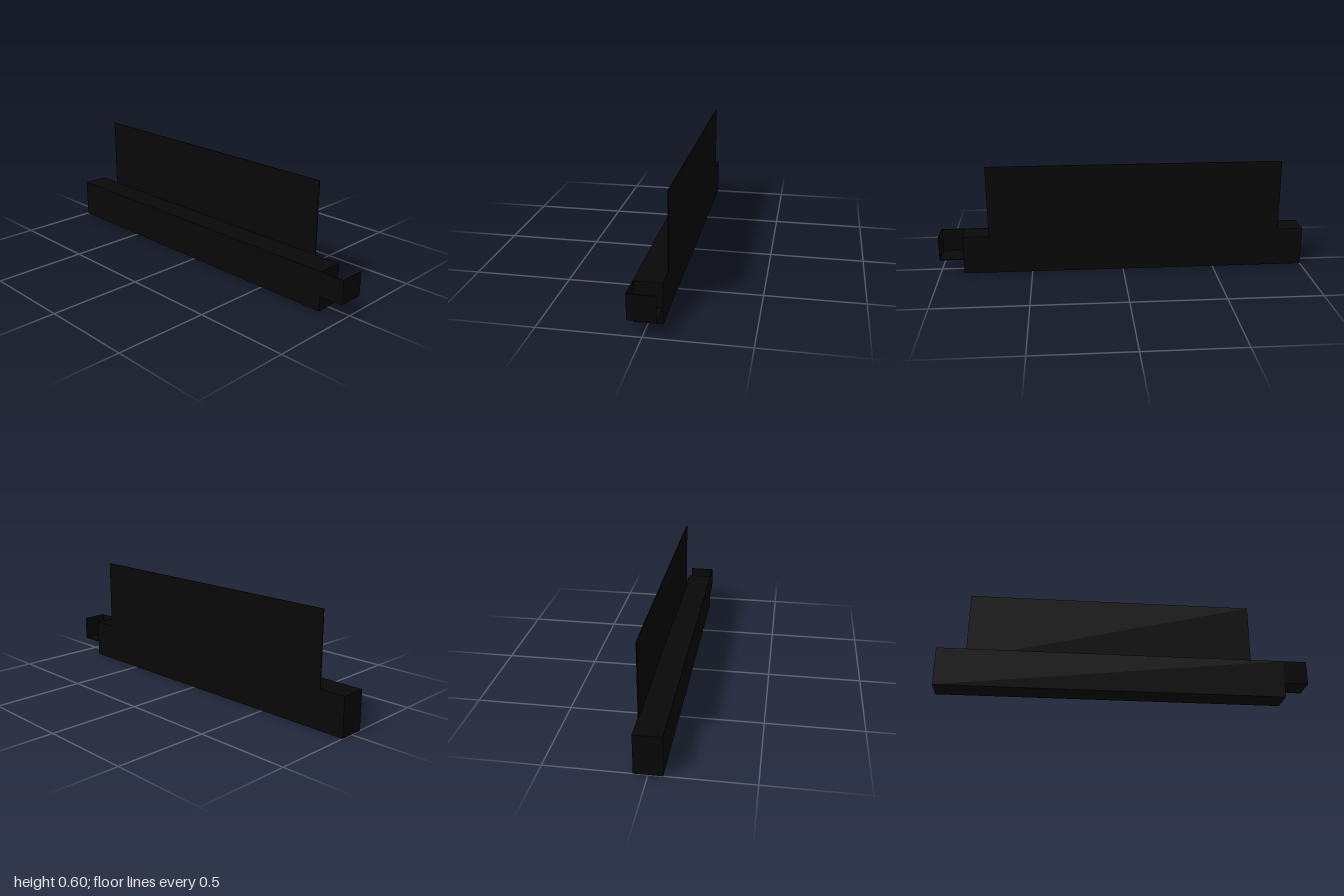
import * as THREE from 'three';

// Long rail with a thin upright panel and an open-topped tray at the front end
export function createModel() {
  const model = new THREE.Group();
  model.name = 'railWithPanel';
  const black = new THREE.MeshStandardMaterial({ color: 0x080808 });

  // Box given by its two opposite corners
  function box(name, [x0, y0, z0], [x1, y1, z1], parent = model) {
    const mesh = new THREE.Mesh(new THREE.BoxGeometry(x1 - x0, y1 - y0, z1 - z0), black);
    mesh.name = name;
    mesh.position.set((x0 + x1) / 2, (y0 + y1) / 2, (z0 + z1) / 2);
    parent.add(mesh);
  }

  const w = 0.07, top = 0.21, bodyFront = 0.87, trayBottom = 0.08, t = 0.004;

  // Solid rail and the panel flush with its left side
  box('railBody', [-w, 0, -1], [w, top, bodyFront]);
  box('uprightPanel', [w - 0.005, top, -0.86], [w, 0.6, 0.73]);

  // Front tray: floor, one side wall and an end plate, open above and on the left
  const tray = new THREE.Group();
  tray.name = 'frontTray';
  model.add(tray);
  box('trayFloor', [-w, trayBottom, bodyFront], [w, trayBottom + t, 1], tray);
  box('traySideWall', [-w, trayBottom + t, bodyFront], [-w + t, top, 1 - t], tray);
  box('trayEndPlate', [-w, trayBottom + t, 1 - t], [w, top, 1], tray);

  return model;
}
